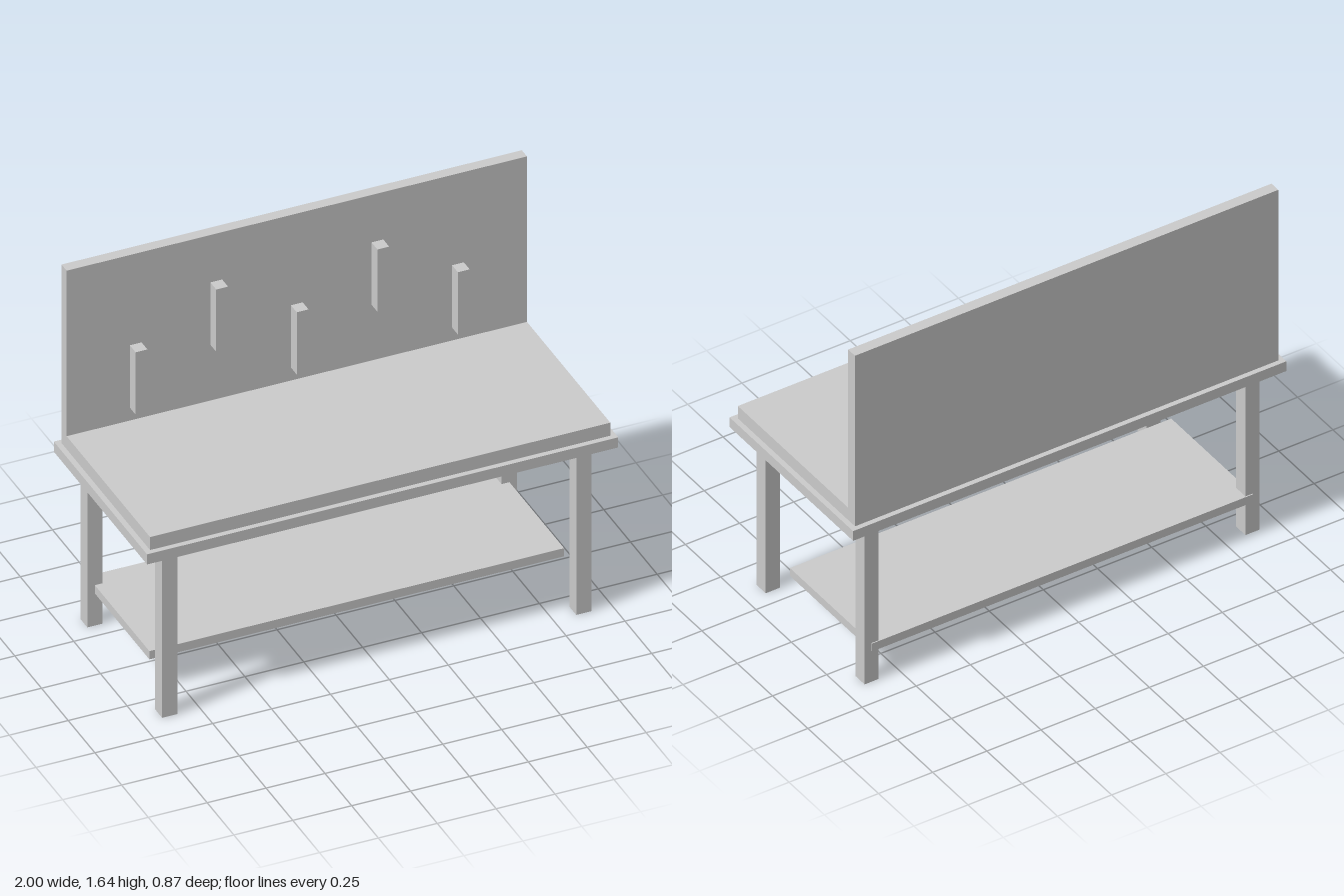
import * as THREE from 'three';

export function createModel() {
  const model = new THREE.Group();
  model.name = 'workbench';
  const material = new THREE.MeshStandardMaterial({ color: 0xcccccc, flatShading: true });

  // Box given by its extents along each axis
  function addBox(name, [x0, x1], [y0, y1], [z0, z1]) {
    const mesh = new THREE.Mesh(new THREE.BoxGeometry(x1 - x0, y1 - y0, z1 - z0), material);
    mesh.position.set((x0 + x1) / 2, (y0 + y1) / 2, (z0 + z1) / 2);
    mesh.name = name;
    model.add(mesh);
  }

  // Table frame and worktop
  addBox('frame', [-1, 1], [0.765, 0.812], [-0.437, 0.437]);
  addBox('worktop', [-0.977, 0.977], [0.812, 0.872], [-0.414, 0.414]);

  // Upright back panel
  addBox('backPanel', [-0.977, 0.977], [0.812, 1.637], [-0.415, -0.367]);

  // Four square legs
  for (const sx of [-1, 1]) {
    for (const sz of [-1, 1]) {
      const x = sx * 0.879, z = sz * 0.35, h = 0.0325;
      const name = (sz > 0 ? 'front' : 'back') + (sx > 0 ? 'Left' : 'Right') + 'Leg';
      addBox(name, [x - h, x + h], [0, 0.765], [z - h, z + h]);
    }
  }

  // Lower shelf, set towards the back
  addBox('shelf', [-0.88, 0.88], [0.149, 0.187], [-0.387, 0.194]);

  // Tools hung on the panel at alternating heights
  for (let i = 0; i < 5; i++) {
    const x = (i - 2) * 0.342;
    const y = i % 2 ? 1.13 : 0.932;
    addBox('hangingTool' + (i + 1), [x - 0.025, x + 0.025], [y, y + 0.288], [-0.367, -0.312]);
  }

  return model;
}
